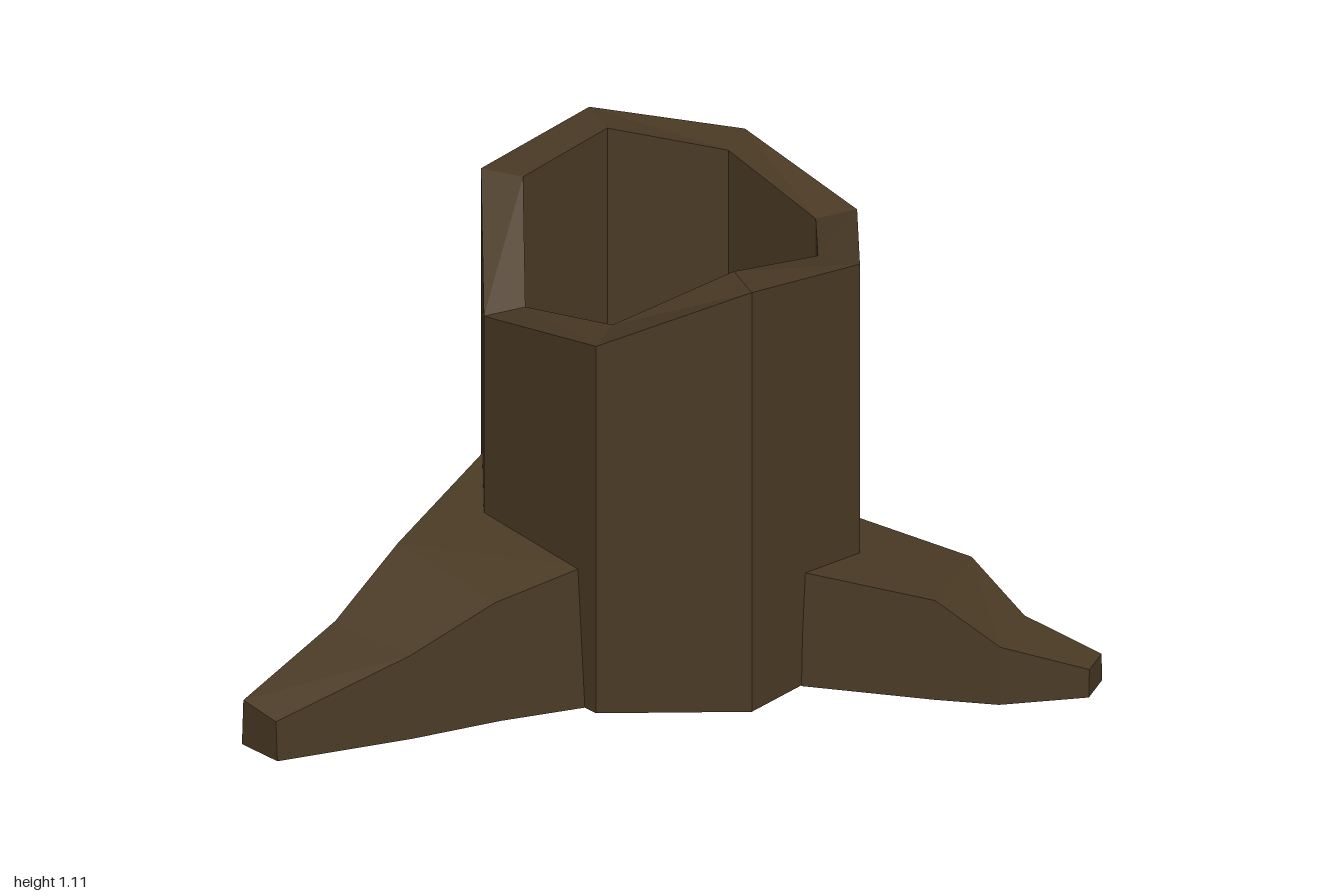
import * as THREE from 'three';

// Joins cross-section loops with flat quads; optional caps on the last section
function loft(sections, closed, capCorners = 0) {
  const pos = [];
  const quad = (a, b, c, d) => pos.push(...a, ...b, ...c, ...a, ...c, ...d);
  const n = sections[0].length;
  const count = closed ? sections.length : sections.length - 1;
  for (let i = 0; i < count; i++) {
    const s = sections[i], t = sections[(i + 1) % sections.length];
    for (let j = 0; j < n; j++) {
      const k = (j + 1) % n;
      quad(s[j], s[k], t[k], t[j]);
    }
  }
  if (capCorners) quad(...sections[sections.length - 1].slice(0, 4));
  const g = new THREE.BufferGeometry();
  g.setAttribute('position', new THREE.Float32BufferAttribute(pos, 3));
  g.computeVertexNormals();
  return g;
}

// Hollow root: each station is [leftX, leftZ, leftTop, rightX, rightZ, rightTop, bottom, wall]
function rootGeometry(stations) {
  const sections = stations.map(([lx, lz, lt, rx, rz, rt, y, wall]) => {
    const at = (f, h) => [lx + (rx - lx) * f, h, lz + (rz - lz) * f];
    const roof = (top) => y + (top - y) * (1 - wall);
    return [
      at(0, y), at(0.04, lt), at(0.96, rt), at(1, y),
      at(1 - wall, y), at(1 - wall, roof(rt)), at(wall, roof(lt)), at(wall, y),
    ];
  });
  return loft(sections, false, 4);
}

export function createModel() {
  const model = new THREE.Group();
  model.name = 'hollowStump';
  const bark = new THREE.MeshStandardMaterial({ color: 0x4a3a25, side: THREE.DoubleSide, flatShading: true });
  bark.name = 'dark brown bark';
  const add = (name, geometry) => {
    const mesh = new THREE.Mesh(geometry, bark);
    mesh.name = name;
    model.add(mesh);
  };

  // Eight-sided hollow trunk with a broken, uneven rim
  const rim = [1.035, 1.11, 0.975, 0.91, 1.085, 1.095, 1.035, 0.97];
  const trunk = rim.map((h, i) => {
    const a = (i * Math.PI) / 4;
    const at = (r, y) => [-0.15 + r * Math.cos(a), y, 0.095 + r * Math.sin(a)];
    return [at(0.45, 0.03), at(0.45, h), at(0.35, h), at(0.35, 0.03)];
  });
  add('trunk', loft(trunk, true));

  // Three spreading roots, from trunk to tip
  add('leftRoot', rootGeometry([
    [0.23, -0.07, 0.285, 0.23, 0.27, 0.315, 0.03, 0.18],
    [0.52, -0.03, 0.265, 0.52, 0.21, 0.275, 0.025, 0.2],
    [0.66, 0.01, 0.165, 0.66, 0.17, 0.165, 0.02, 0.28],
    [0.83, -0.02, 0.085, 0.83, 0.06, 0.085, 0.015, 0.5],
  ]));
  add('frontRoot', rootGeometry([
    [-0.18, 0.53, 0.38, -0.55, 0.21, 0.45, 0.03, 0.15],
    [-0.33, 0.67, 0.34, -0.63, 0.55, 0.37, 0.04, 0.18],
    [-0.48, 0.81, 0.25, -0.70, 0.74, 0.26, 0.04, 0.25],
    [-0.73, 0.995, 0.13, -0.83, 0.955, 0.145, 0.03, 0.5],
  ]));
  add('backRoot', rootGeometry([
    [-0.49, -0.17, 0.47, 0.02, -0.29, 0.49, 0.03, 0.12],
    [-0.55, -0.58, 0.39, -0.16, -0.67, 0.42, 0.02, 0.16],
    [-0.52, -0.77, 0.24, -0.27, -0.83, 0.25, 0.01, 0.25],
    [-0.61, -0.97, 0.13, -0.47, -1.0, 0.14, 0.0, 0.5],
  ]));

  return model;
}
